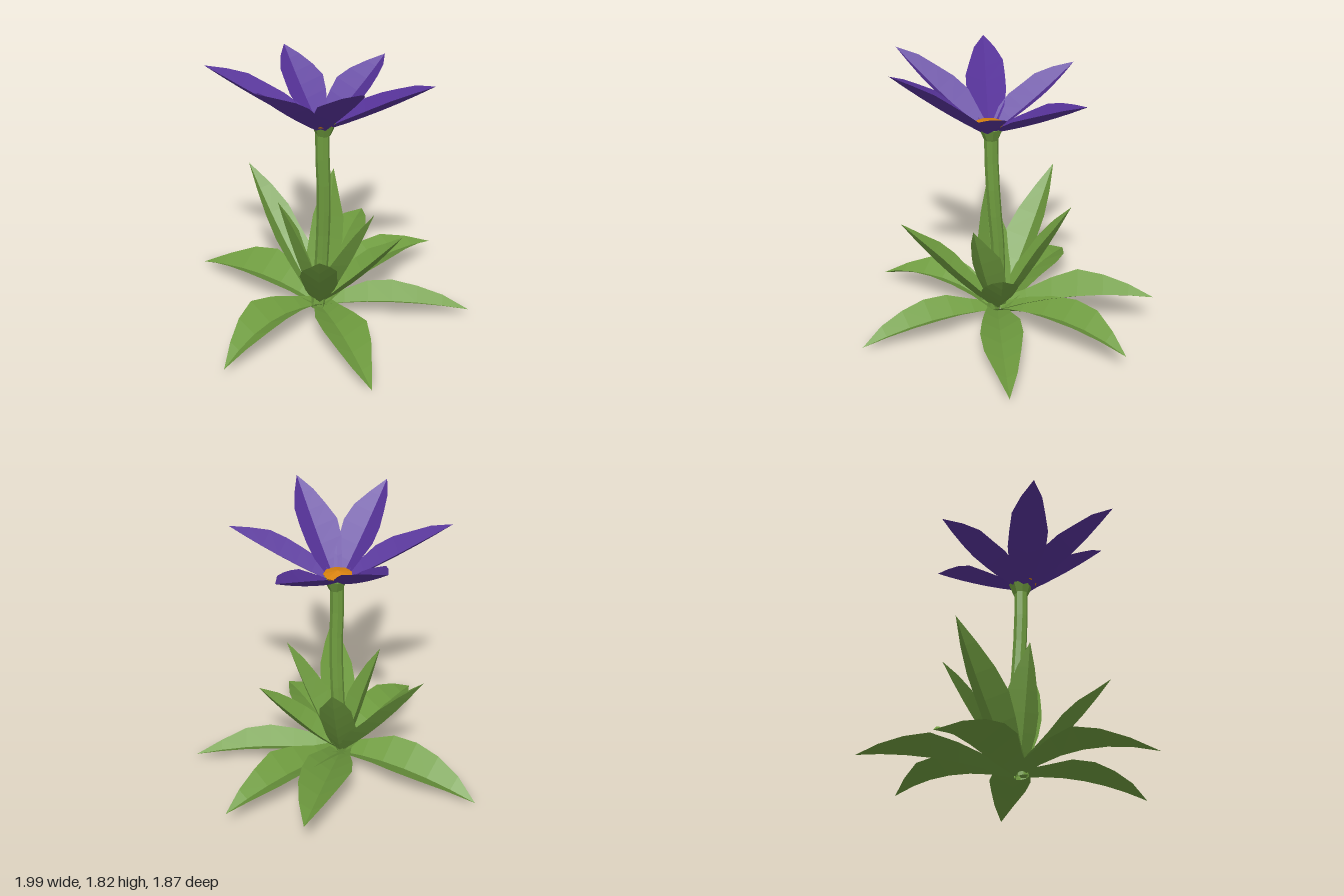
import * as THREE from 'three';

const material = (color) => new THREE.MeshStandardMaterial({ color, flatShading: true, side: THREE.DoubleSide });
const green = material(0x6f9c3f);
const purple = material(0x57339a);
const orange = material(0xd9820f);

const V = (x, y, z) => new THREE.Vector3(x, y, z);
const UP = V(0, 1, 0);

// Pointed blade with a V-shaped section, swept along a curve that passes through mid.
// profile scales the width along the blade, fold gives the depth of the V.
function blade(name, base, mid, tip, halfWidth, fold, profile, mat, seed) {
  const control = mid.clone().multiplyScalar(2).addScaledVector(base, -0.5).addScaledVector(tip, -0.5);
  const spine = new THREE.QuadraticBezierCurve3(base, control, tip);
  const outward = V(tip.x - base.x, 0, tip.z - base.z).normalize();
  const side = new THREE.Vector3().crossVectors(outward, UP);
  const n = profile.length - 1;
  const pos = [];
  const idx = [];
  for (let i = 0; i <= n; i++) {
    const t = i / n;
    const p = spine.getPoint(t);
    const normal = new THREE.Vector3().crossVectors(side, spine.getTangent(t)).normalize();
    for (const s of [-1, 0, 1]) {
      // slight uneven edge so no two blades are alike
      const wobble = 1 + 0.07 * Math.sin(seed * 2.3 + i * 1.9 + s * 1.3);
      const w = halfWidth * profile[i] * wobble;
      const q = p.clone().addScaledVector(side, s * w).addScaledVector(normal, Math.abs(s) * w * fold);
      pos.push(q.x, q.y, q.z);
    }
    if (i < n) {
      for (const k of [0, 1]) {
        const a = i * 3 + k, b = a + 1, c = a + 3, d = a + 4;
        idx.push(a, b, d, a, d, c);
      }
    }
  }
  const geo = new THREE.BufferGeometry();
  geo.setAttribute('position', new THREE.Float32BufferAttribute(pos, 3));
  geo.setIndex(idx);
  geo.computeVertexNormals();
  const mesh = new THREE.Mesh(geo, mat);
  mesh.name = name;
  return mesh;
}

// Point at a small radius from a centre, in the direction of the tip
function rootPoint(centre, tip, radius) {
  const d = V(tip.x - centre.x, 0, tip.z - centre.z).normalize();
  return centre.clone().addScaledVector(d, radius);
}

export function createModel() {
  const model = new THREE.Group();
  model.name = 'flower';

  // Stem, slightly bent
  const path = new THREE.CatmullRomCurve3([
    V(-0.09, 0.05, 0.09), V(-0.06, 0.2, 0.08), V(-0.045, 0.5, 0.09),
    V(-0.06, 0.9, 0.115), V(-0.075, 1.2, 0.115), V(-0.075, 1.35, 0.115),
  ]);
  const stem = new THREE.Mesh(new THREE.TubeGeometry(path, 7, 0.045, 8), green);
  stem.name = 'stem';
  model.add(stem);

  // Calyx flaring under the petals
  const calyx = new THREE.Mesh(new THREE.CylinderGeometry(0.08, 0.046, 0.08, 8), green);
  calyx.name = 'calyx';
  calyx.position.set(-0.07, 1.36, 0.12);
  model.add(calyx);

  // Low faceted centre of the bloom
  const heart = new THREE.Mesh(new THREE.LatheGeometry([
    new THREE.Vector2(0.085, -0.015), new THREE.Vector2(0.095, 0), new THREE.Vector2(0, 0.025),
  ], 9), orange);
  heart.name = 'flowerCentre';
  heart.position.set(-0.09, 1.42, 0.12);
  model.add(heart);

  // Petals: tip positions
  const petals = new THREE.Group();
  petals.name = 'petals';
  const bloom = V(-0.085, 1.375, 0.12);
  [
    [-0.74, 1.82, 0.21], [-0.53, 1.76, -0.44], [0.17, 1.71, -0.45],
    [0.58, 1.66, 0.06], [0.25, 1.71, 0.72], [-0.39, 1.84, 0.69],
  ].forEach((p, i) => {
    const tip = V(...p);
    const base = rootPoint(bloom, tip, 0.06);
    const mid = base.clone().lerp(tip, 0.5);
    mid.y -= 0.015;
    petals.add(blade('petal', base, mid, tip, 0.128, 0.55, [0.4, 0.75, 0.97, 1, 0.85, 0.52, 0], purple, i + 1));
  });
  model.add(petals);

  // Spreading leaves: tip, middle of the midrib, half width
  const low = new THREE.Group();
  low.name = 'spreadingLeaves';
  [
    [[-1, 0.06, 0.15], [-0.53, 0.14, 0.08], 0.15],
    [[-0.52, 0.04, 0.93], [-0.29, 0.1, 0.5], 0.145],
    [[0.57, 0.05, 0.85], [0.24, 0.1, 0.46], 0.14],
    [[0.99, 0.14, 0.19], [0.48, 0.17, 0.11], 0.155],
    [[0.88, 0.25, -0.36], [0.42, 0.2, -0.16], 0.165],
    [[-0.18, 0.02, -0.94], [-0.11, 0.1, -0.42], 0.185],
  ].forEach(([p, m, w], i) => {
    const tip = V(...p);
    const base = rootPoint(V(-0.06, 0.05, 0.08), tip, 0.02);
    low.add(blade('spreadingLeaf', base, V(...m), tip, w, 0.6, [0.45, 0.62, 0.88, 1, 0.82, 0.46, 0], green, i + 3));
  });
  model.add(low);

  // Upright leaves around the stem: tip, half width
  const upright = new THREE.Group();
  upright.name = 'uprightLeaves';
  [
    [[-0.05, 0.89, -0.58], 0.12], [[0.35, 0.84, -0.17], 0.115], [[0.03, 0.84, 0.46], 0.11],
    [[-0.27, 0.85, -0.09], 0.11], [[-0.52, 0.75, 0.5], 0.12], [[0.28, 0.59, 0.5], 0.115],
  ].forEach(([p, w], i) => {
    const tip = V(...p);
    const base = rootPoint(V(-0.06, 0.09, 0.08), tip, 0.04);
    const mid = base.clone().lerp(tip, 0.5);
    mid.y -= 0.045;
    upright.add(blade('uprightLeaf', base, mid, tip, w, 0.7, [0.55, 0.78, 0.96, 1, 0.9, 0.52, 0], green, i + 7));
  });
  model.add(upright);

  return model;
}
